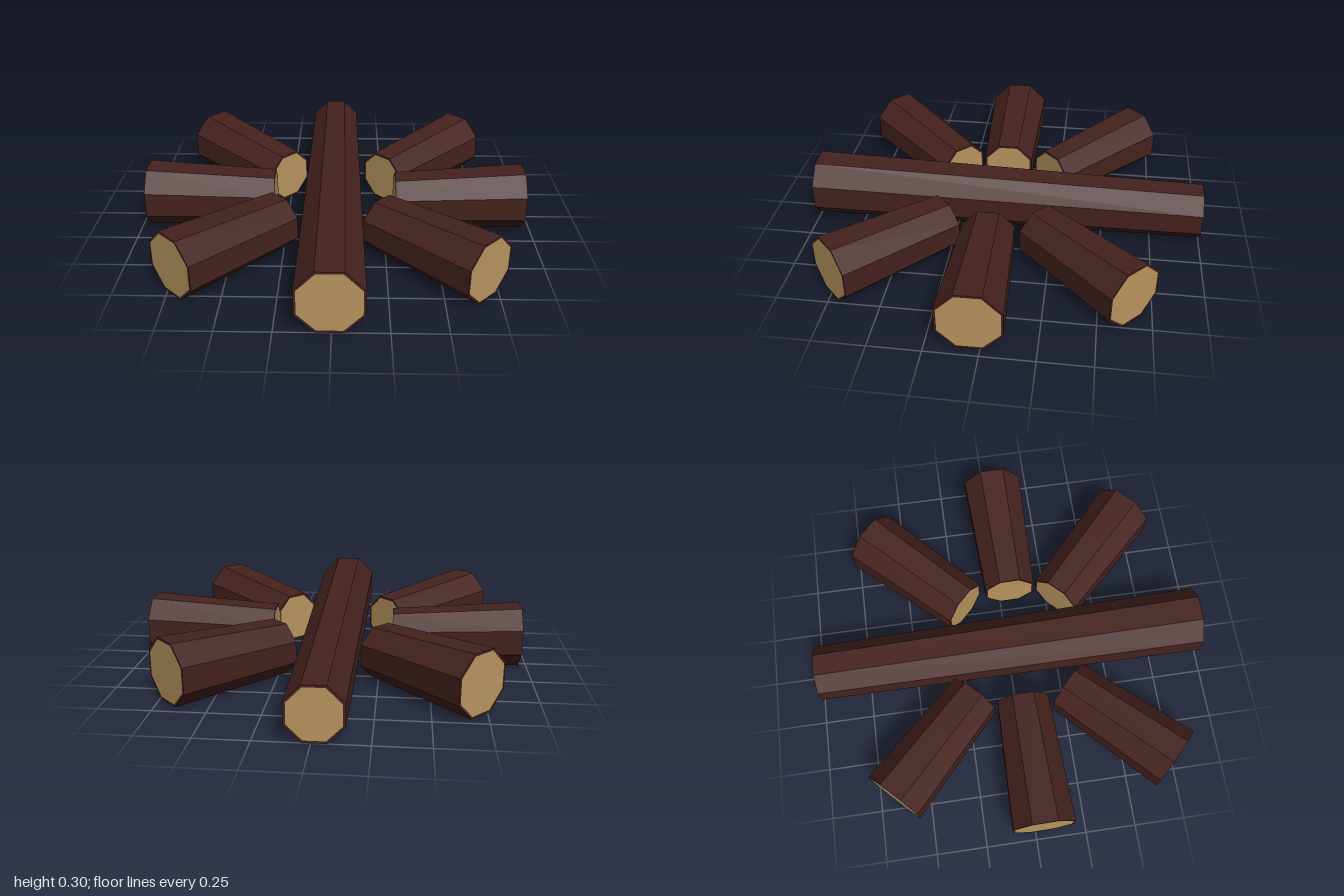
import * as THREE from 'three';

const bark = new THREE.MeshStandardMaterial({ color: 0x45221e, flatShading: true });
const wood = new THREE.MeshStandardMaterial({ color: 0xb8955f, flatShading: true });
const SIDES = 8;
const TURN = Math.PI / SIDES;          // puts a flat side on the ground
const THICK = 0.152, THIN = 0.129;     // half heights across the flats
const RIM = 0.011;                     // width of the bark ring on a cut end

function add(group, name, geometry, material) {
  const mesh = new THREE.Mesh(geometry, material);
  mesh.name = name;
  group.add(mesh);
}

// Octagonal tapered log lying flat on the ground, thick end first; points are [x, z]
function makeLog(name, [x0, z0], [x1, z1]) {
  const log = new THREE.Group();
  log.name = name;
  const length = Math.hypot(x0 - x1, z0 - z1);
  const radius = (half) => half / Math.cos(TURN);

  // Bark, with each cross-section raised so the underside stays level
  const body = new THREE.CylinderGeometry(radius(THICK), radius(THIN), length, SIDES, 1, true, TURN);
  body.rotateX(Math.PI / 2);
  const p = body.attributes.position;
  for (let i = 0; i < p.count; i++) {
    p.setY(i, p.getY(i) + (p.getZ(i) > 0 ? THICK : THIN));
  }
  body.computeVertexNormals();
  add(log, 'bark', body, bark);

  // Cut ends: pale wood inside a narrow bark ring
  for (const [half, side] of [[THICK, 1], [THIN, -1]]) {
    const inner = radius(half - RIM);
    const ring = new THREE.RingGeometry(inner, radius(half), SIDES, 1, TURN);
    const disc = new THREE.CircleGeometry(inner, SIDES, TURN);
    for (const g of [ring, disc]) {
      if (side < 0) g.rotateY(Math.PI);
      g.translate(0, half, side * length / 2);
    }
    add(log, 'barkRing', ring, bark);
    add(log, 'cutWood', disc, wood);
  }

  log.position.set((x0 + x1) / 2, 0, (z0 + z1) / 2);
  log.rotation.y = Math.atan2(x0 - x1, z0 - z1);
  return log;
}

export function createModel() {
  const model = new THREE.Group();
  model.name = 'campfireLogs';
  const logs = [
    ['longLog', [-0.007, 1], [-0.015, -1]],
    ['leftLog', [0.957, 0.047], [0.305, 0.053]],
    ['rightLog', [-0.96, 0.037], [-0.31, 0.03]],
    ['backLeftLog', [0.70, -0.657], [0.248, -0.195]],
    ['backRightLog', [-0.717, -0.665], [-0.253, -0.21]],
    ['frontRightLog', [-0.723, 0.735], [-0.27, 0.27]],
    ['frontLeftLog', [0.692, 0.745], [0.23, 0.288]],
  ];
  for (const [name, outer, inner] of logs) model.add(makeLog(name, outer, inner));
  return model;
}
